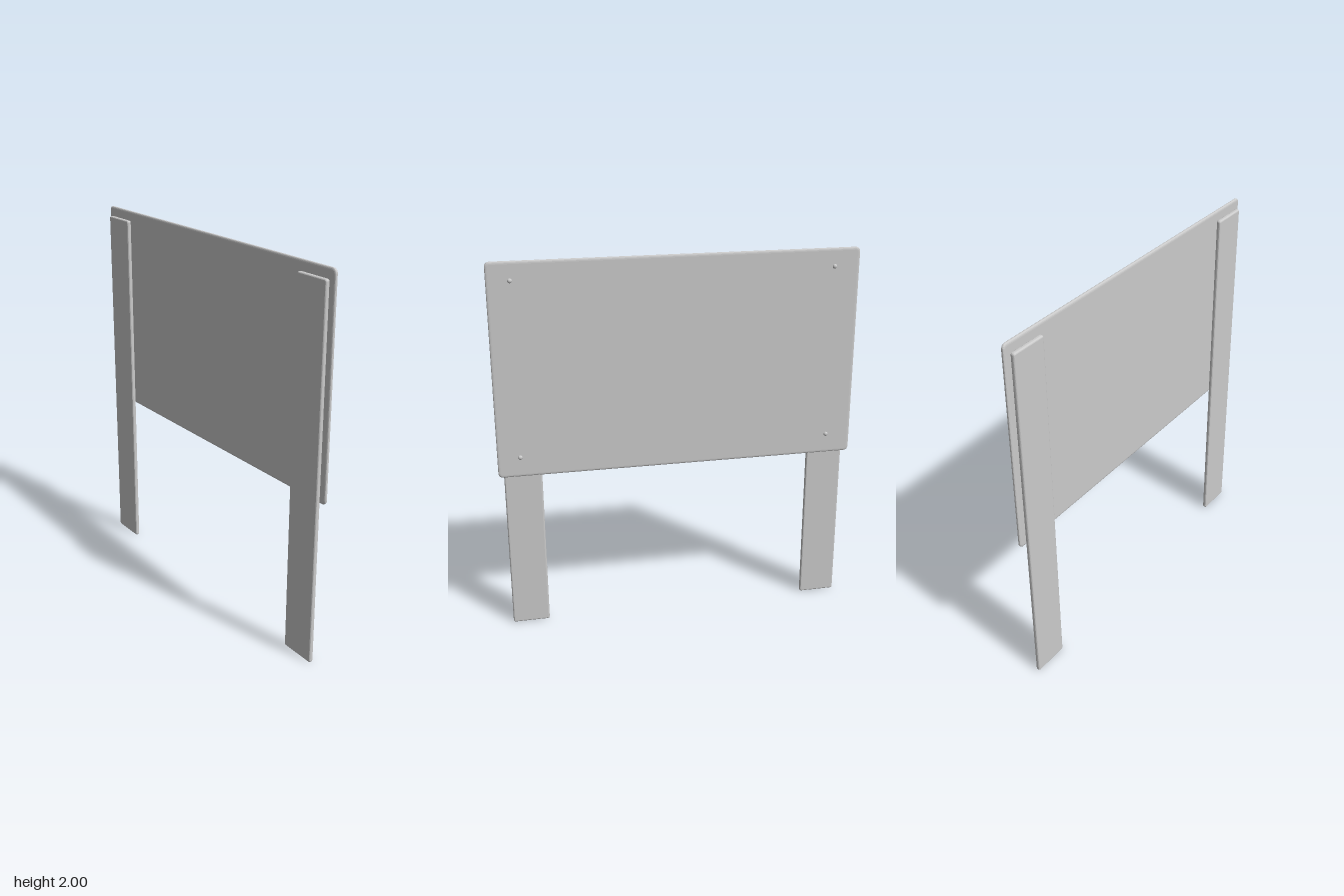
import * as THREE from 'three';

const material = new THREE.MeshStandardMaterial({ color: 0xcccccc });

// Upright board lying in the yz plane, with rounded corners and eased edges
function board(name, width, height, depth, corner, ease) {
  const w = width / 2 - ease, h = height / 2 - ease, r = corner;
  const shape = new THREE.Shape();
  shape.moveTo(-w + r, -h);
  shape.lineTo(w - r, -h);
  shape.quadraticCurveTo(w, -h, w, -h + r);
  shape.lineTo(w, h - r);
  shape.quadraticCurveTo(w, h, w - r, h);
  shape.lineTo(-w + r, h);
  shape.quadraticCurveTo(-w, h, -w, h - r);
  shape.lineTo(-w, -h + r);
  shape.quadraticCurveTo(-w, -h, -w + r, -h);
  const bevel = depth * 0.35;
  const geometry = new THREE.ExtrudeGeometry(shape, {
    depth: depth - 2 * bevel, bevelEnabled: true, bevelThickness: bevel,
    bevelSize: ease, bevelSegments: 4, curveSegments: 5,
  });
  geometry.translate(0, 0, bevel - depth / 2);
  geometry.rotateY(Math.PI / 2);
  const mesh = new THREE.Mesh(geometry, material);
  mesh.name = name;
  return mesh;
}

export function createModel() {
  const model = new THREE.Group();
  model.name = 'headboard';

  // Wide panel
  const panel = board('panel', 1.91, 1.125, 0.018, 0.012, 0.014);
  panel.position.set(0.008, 1.4375, 0);
  model.add(panel);

  // Two flat posts behind the panel
  for (const [name, z] of [['leftPost', 0.827], ['rightPost', -0.822]]) {
    const post = board(name, 0.198, 1.95, 0.024, 0.003, 0.009);
    post.position.set(-0.0145, 0.975, z);
    model.add(post);
  }

  // Domed bolt heads at the panel corners
  const dome = new THREE.SphereGeometry(0.012, 16, 6, 0, Math.PI * 2, 0, Math.PI / 2);
  dome.scale(1, 0.8, 1);
  dome.rotateZ(-Math.PI / 2);
  for (const z of [0.838, -0.82]) {
    for (const y of [0.982, 1.905]) {
      const bolt = new THREE.Mesh(dome, material);
      bolt.name = 'boltHead';
      bolt.position.set(0.017, y, z);
      model.add(bolt);
    }
  }
  return model;
}
